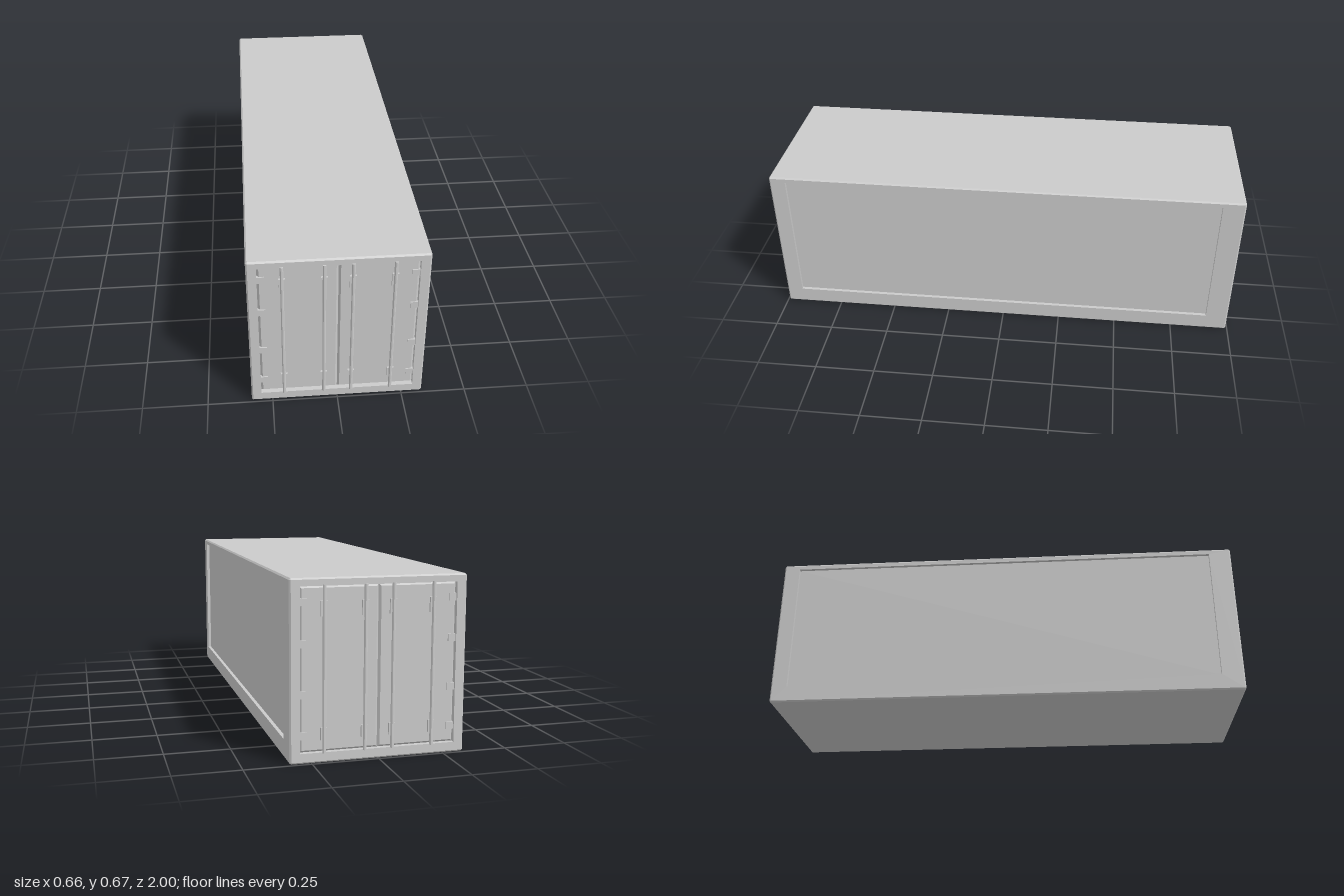
import * as THREE from 'three';
import { ConvexGeometry } from 'three/addons/geometries/ConvexGeometry.js';

const HX = 0.331, H = 0.665, HZ = 0.993, C = 0.006; // half width, height, half length, edge chamfer
const grey = new THREE.MeshStandardMaterial({ color: 0xcccccc, flatShading: true });

function add(parent, name, geometry, x = 0, y = 0, z = 0) {
  const mesh = new THREE.Mesh(geometry, grey);
  mesh.name = name;
  mesh.position.set(x, y, z);
  parent.add(mesh);
  return mesh;
}

function rect(path, x0, y0, x1, y1) {
  path.moveTo(x0, y0);
  path.lineTo(x1, y0);
  path.lineTo(x1, y1);
  path.lineTo(x0, y1);
  path.closePath();
  return path;
}

// Roof, floor and chamfered edges: a hull without its end and side faces
function shellGeometry() {
  const pts = [];
  for (const sx of [-1, 1]) for (const sy of [-1, 1]) for (const sz of [-1, 1]) for (let k = 0; k < 3; k++) {
    pts.push(new THREE.Vector3(
      sx * (HX - (k === 0 ? 0 : C)),
      H / 2 + sy * (H / 2 - (k === 1 ? 0 : C)),
      sz * (HZ - (k === 2 ? 0 : C))));
  }
  const hull = new ConvexGeometry(pts);
  const p = hull.attributes.position, n = hull.attributes.normal;
  const pos = [];
  for (let i = 0; i < p.count; i += 3) {
    if (Math.abs(n.getX(i)) > 0.99 || Math.abs(n.getZ(i)) > 0.99) continue;
    for (let j = i; j < i + 3; j++) pos.push(p.getX(j), p.getY(j), p.getZ(j));
  }
  const g = new THREE.BufferGeometry();
  g.setAttribute('position', new THREE.Float32BufferAttribute(pos, 3));
  g.computeVertexNormals();
  return g;
}

// Flat wall facing +z with a rectangular recess
function recessedWall(name, halfWidth, [x0, y0, x1, y1], depth) {
  const wall = new THREE.Group();
  wall.name = name;
  const shape = rect(new THREE.Shape(), -halfWidth + C, C, halfWidth - C, H - C);
  shape.holes.push(rect(new THREE.Path(), x0, y0, x1, y1));
  add(wall, 'frame', new THREE.ShapeGeometry(shape));

  // Open box turned inside out, without its front lid
  const box = new THREE.BoxGeometry(x1 - x0, y1 - y0, depth).toNonIndexed();
  const a = box.attributes.position, pos = [];
  for (let i = 0; i < a.count; i += 3) {
    if (i >= 24 && i < 30) continue;
    for (const j of [i, i + 2, i + 1]) pos.push(a.getX(j), a.getY(j), a.getZ(j));
  }
  const inside = new THREE.BufferGeometry();
  inside.setAttribute('position', new THREE.Float32BufferAttribute(pos, 3));
  inside.computeVertexNormals();
  add(wall, 'recess', inside, (x0 + x1) / 2, (y0 + y1) / 2, -depth / 2);
  return wall;
}

// Door leaf with sloping edges
function doorGeometry(x0, y0, x1, y1, z0, z1, inset) {
  const pts = [];
  for (const [z, d] of [[z0, 0], [z1, inset]]) {
    for (const x of [x0 + d, x1 - d]) for (const y of [y0 + d, y1 - d]) pts.push(new THREE.Vector3(x, y, z));
  }
  return new ConvexGeometry(pts);
}

function doorEnd() {
  const deep = 0.02, opening = 0.293, bottom = 0.038, top = 0.636;
  const end = recessedWall('doorEnd', HX, [-opening, bottom, opening, top], deep);
  for (const s of [-1, 1]) {
    add(end, 'door', doorGeometry(Math.min(0, s * opening), bottom, Math.max(0, s * opening), top,
      -deep, -0.011, 0.008));
    // Hinges along the outer edge
    for (const y of [0.1, 0.249, 0.431, 0.58]) {
      add(end, 'hinge', new THREE.BoxGeometry(0.028, 0.027, 0.014), s * 0.279, y, -0.013);
    }
    // Locking bars with their upper and lower brackets
    for (const x of [0.052, 0.204]) {
      const bar = add(end, 'lockingBar', new THREE.CylinderGeometry(0.0068, 0.0068, 0.605, 8), s * x, 0.3375, 0);
      bar.rotation.y = Math.PI / 8;
      for (const [y, h] of [[0.105, 0.045], [0.555, 0.055]]) {
        add(end, 'barBracket', new THREE.BoxGeometry(0.025, h, 0.014), s * x, y, -0.009);
      }
    }
  }
  return end;
}

export function createModel() {
  const model = new THREE.Group();
  model.name = 'cargoContainer';
  add(model, 'shell', shellGeometry());

  // The two ends and the two sides repeat by a half turn
  for (const turn of [0, Math.PI]) {
    const half = new THREE.Group();
    half.name = 'containerHalf';
    half.rotation.y = turn;
    const end = doorEnd();
    end.position.z = HZ;
    const side = recessedWall('sideWall', HZ, [-0.925, 0.07, 0.9, 0.642], 0.014);
    side.rotation.y = Math.PI / 2;
    side.position.x = HX;
    half.add(end, side);
    model.add(half);
  }
  return model;
}
